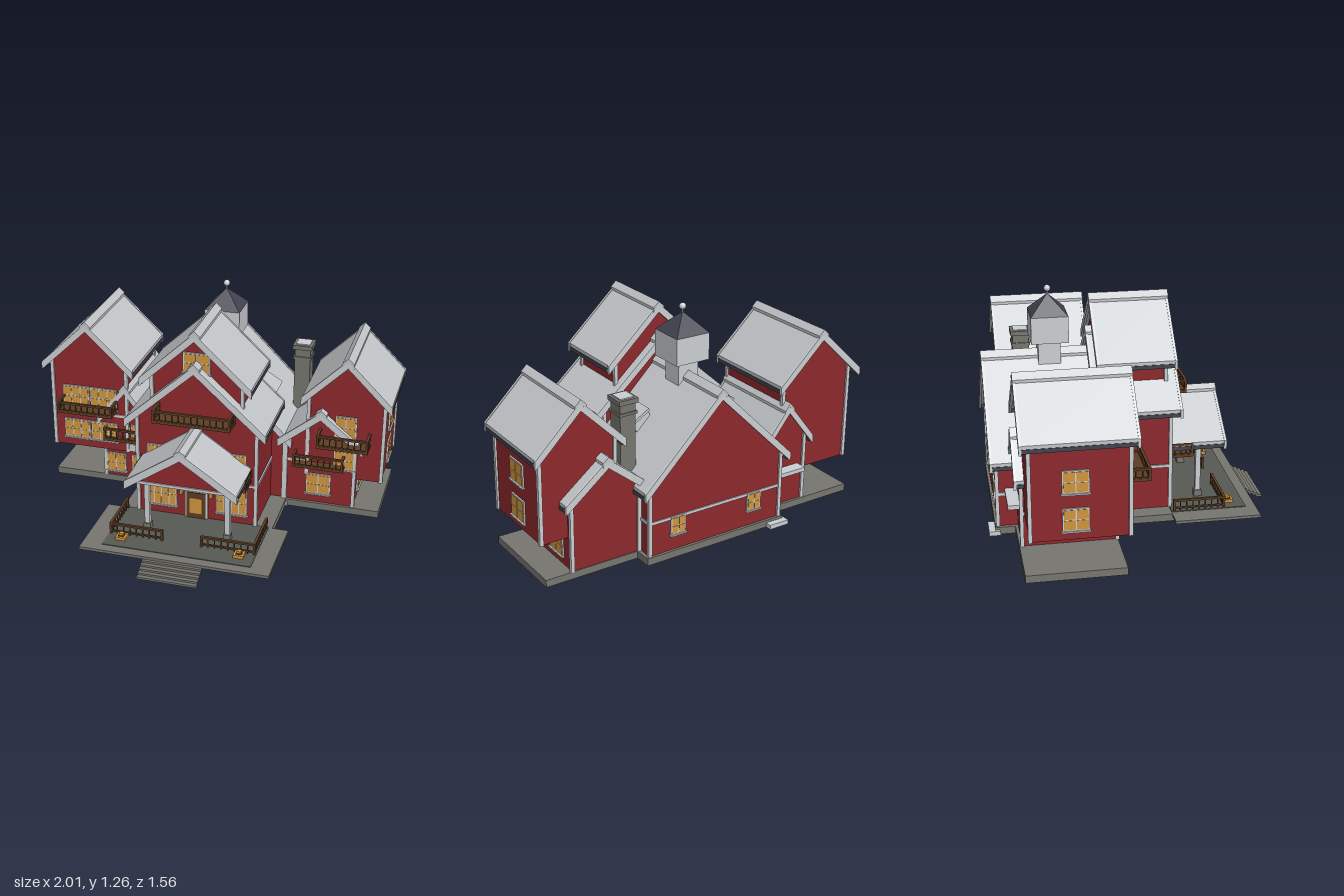
import * as THREE from 'three';

const mat = (name, color, side = THREE.FrontSide) => {
  const m = new THREE.MeshStandardMaterial({ color, side });
  m.name = name;
  return m;
};

export function createModel() {
  const root = new THREE.Group();
  root.name = 'house';
  const red = mat('red boards', 0x8e282c), roofM = mat('pale roof', 0xc4c7ca), trim = mat('white trim', 0xcdd0d4),
    wood = mat('brown wood', 0x5e3e24), glass = mat('amber glass', 0xd2963c), stone = mat('grey stone', 0x77766f),
    deck = mat('dark deck', 0x585a54), slate = mat('dark slate', 0x42444f);

  function add(parent, name, geo, m) {
    const mesh = new THREE.Mesh(geo, m);
    mesh.name = name;
    parent.add(mesh);
    return mesh;
  }
  // Box given by its limits
  function box(parent, name, m, x0, x1, y0, y1, z0, z1) {
    const b = add(parent, name, new THREE.BoxGeometry(x1 - x0, y1 - y0, z1 - z0), m);
    b.position.set((x0 + x1) / 2, (y0 + y1) / 2, (z0 + z1) / 2);
    return b;
  }
  function extrude(parent, name, m, pts, z0, z1) {
    const shape = new THREE.Shape(pts.map(p => new THREE.Vector2(...p)));
    const geo = new THREE.ExtrudeGeometry(shape, { depth: z1 - z0, bevelEnabled: false });
    const mesh = add(parent, name, geo, m);
    mesh.position.z = z0;
    return mesh;
  }
  // Upside-down V: half width, apex height, end height, vertical thickness
  const chevron = (h, top, end, t) => [[-h, end - t], [0, top - t], [h, end - t], [h, end], [0, top], [-h, end]];

  // Gabled block: walls, roof, ridge cap, barge boards, eaves and corner posts
  function gable(name, o) {
    const g = new THREE.Group();
    g.name = name;
    g.position.x = o.x || 0;
    root.add(g);
    const { w, h, base, eave, top } = o, [wz0, wz1] = o.wall, [rz0, rz1] = o.roof;
    const slope = (top - eave) / h, t = 0.03, wallTop = top - slope * w - t;
    extrude(g, 'walls', red, [[-w, base], [w, base], [w, wallTop], [0, top - t], [-w, wallTop]], wz0, wz1);
    extrude(g, 'roof', roofM, chevron(h, top, eave, t), rz0, rz1);
    extrude(g, 'ridgeCap', roofM, chevron(0.032, top + 0.016, top + 0.016 - slope * 0.032, 0.025), rz0 - 0.003, rz1 + 0.003);
    for (const [a, b] of [[rz0 - 0.002, rz0 + 0.012], [rz1 - 0.012, rz1 + 0.002]])
      extrude(g, 'bargeBoard', trim, chevron(h + 0.004, top + 0.004, eave, 0.048), a, b);
    for (const s of [-1, 1]) {
      const e = s * (h - 0.004);
      box(g, 'eave', slate, e - 0.007, e + 0.007, eave - 0.04, eave - 0.018, rz0 + 0.012, rz1 - 0.012);
      for (const z of [wz0, wz1])
        box(g, 'cornerPost', trim, s * w - 0.01, s * w + 0.01, base, wallTop, z - 0.01, z + 0.01);
    }
    return g;
  }

  gable('mainHall', { w: 0.41, h: 0.45, base: 0.07, eave: 0.445, top: 0.893, wall: [-0.73, -0.15], roof: [-0.763, -0.12] });
  gable('frontBlock', { w: 0.335, h: 0.39, base: 0.07, eave: 0.655, top: 1.005, wall: [-0.17, 0.208], roof: [-0.2, 0.26] });
  gable('upperBlock', { w: 0.25, h: 0.305, base: 0.6, eave: 0.9, top: 1.185, wall: [-0.15, 0.195], roof: [-0.18, 0.245] });
  gable('westWing', { x: -0.732, w: 0.222, h: 0.268, base: 0.245, eave: 0.775, top: 1.03, wall: [-0.61, -0.115], roof: [-0.655, -0.077] });
  gable('eastWing', { x: 0.75, w: 0.21, h: 0.247, base: 0.245, eave: 0.725, top: 0.97, wall: [-0.61, -0.152], roof: [-0.655, -0.117] });
  gable('westAnnex', { x: -0.522, w: 0.133, h: 0.165, base: 0.07, eave: 0.45, top: 0.66, wall: [-0.625, -0.135], roof: [-0.66, -0.105] });
  gable('eastAnnex', { x: 0.615, w: 0.195, h: 0.237, base: 0.07, eave: 0.455, top: 0.645, wall: [-0.645, -0.146], roof: [-0.68, -0.112] });
  gable('porchRoof', { w: 0.255, h: 0.305, base: 0.385, eave: 0.425, top: 0.63, wall: [0.2, 0.45], roof: [0.2, 0.523] });

  // Trim bands on walls
  for (const [x0, x1, y, z0, z1] of [
    [-0.343, 0.343, 0.315, -0.15, 0.215], [-0.416, 0.416, 0.255, -0.736, -0.4],
    [-0.96, -0.504, 0.47, -0.12, -0.109], [0.414, 0.545, 0.325, -0.15, -0.14],
    [-0.661, -0.383, 0.255, -0.631, -0.3], [-0.262, 0.262, 0.39, 0.36, 0.458]
  ]) box(root, 'trimBand', trim, x0, x1, y - 0.008, y + 0.008, z0, z1);

  // Window on a plane facing +z, turned by ry
  function win(x, y, z, w, h, cols, rows, ry = 0) {
    const g = new THREE.Group();
    g.name = 'window';
    g.position.set(x, y, z);
    g.rotation.y = ry;
    root.add(g);
    box(g, 'frame', trim, -w / 2, w / 2, -h / 2, h / 2, 0, 0.008);
    box(g, 'sill', trim, -w / 2 - 0.006, w / 2 + 0.006, -h / 2 - 0.008, -h / 2, 0, 0.016);
    const cw = (w - 0.008) / cols, ch = (h - 0.008) / rows;
    for (let i = 0; i < cols; i++) for (let j = 0; j < rows; j++) {
      const px = -w / 2 + 0.004 + i * cw, py = -h / 2 + 0.004 + j * ch;
      box(g, 'pane', glass, px + 0.003, px + cw - 0.003, py + 0.003, py + ch - 0.003, 0.005, 0.0105);
    }
  }
  const side = Math.PI / 2;
  for (const s of [-1, 1]) {
    win(s * 0.2, 0.205, 0.208, 0.175, 0.15, 4, 2);
    win(s * 0.215, 0.45, 0.208, 0.13, 0.1, 3, 2);
    win(s * 0.24, 0.21, -0.73, 0.09, 0.1, 2, 2, Math.PI);
  }
  win(0, 1.005, 0.195, 0.15, 0.11, 2, 2);
  for (const x of [-0.815, -0.65]) {
    win(x, 0.36, -0.115, 0.16, 0.115, 3, 2);
    win(x, 0.57, -0.115, 0.16, 0.125, 3, 2);
  }
  win(-0.59, 0.16, -0.135, 0.12, 0.115, 2, 2);
  win(-0.445, 0.16, -0.135, 0.1, 0.115, 2, 2);
  win(-0.455, 0.36, -0.135, 0.08, 0.11, 2, 2);
  win(0.75, 0.56, -0.152, 0.12, 0.13, 2, 2);
  win(0.75, 0.36, -0.146, 0.12, 0.115, 2, 2);
  win(0.61, 0.19, -0.146, 0.14, 0.125, 2, 2);
  for (const y of [0.355, 0.555]) {
    win(0.96, y, -0.385, 0.135, 0.12, 2, 2, side);
    win(-0.954, y, -0.385, 0.135, 0.12, 2, 2, -side);
  }
  for (const z of [-0.322, -0.498]) win(0.81, 0.18, z, 0.13, 0.12, 2, 2, side);

  // Railing between two points, with posts and balusters
  function rail(g, x0, z0, x1, z1, y0, y1) {
    const len = Math.hypot(x1 - x0, z1 - z0), n = Math.max(2, Math.round(len / 0.035));
    const r = new THREE.Group();
    r.name = 'railing';
    r.position.set(x0, 0, z0);
    r.rotation.y = -Math.atan2(z1 - z0, x1 - x0);
    g.add(r);
    box(r, 'topRail', wood, 0, len, y1 - 0.012, y1, -0.007, 0.007);
    box(r, 'lowRail', wood, 0, len, y0 + 0.012, y0 + 0.02, -0.004, 0.004);
    for (let i = 0; i <= n; i++) {
      const x = len * i / n, k = i % n ? 0.003 : 0.006;
      box(r, 'baluster', wood, x - k, x + k, y0, y1, -k, k);
    }
  }
  function balcony(x0, x1, y0, y1, z0, z1) {
    const g = new THREE.Group();
    g.name = 'balcony';
    root.add(g);
    box(g, 'floor', wood, x0, x1, y0, y0 + 0.015, z0, z1);
    const a = x0 + 0.006, b = x1 - 0.006, f = z1 - 0.006;
    rail(g, a, f, b, f, y0, y1);
    rail(g, a, z0, a, f, y0, y1);
    rail(g, b, z0, b, f, y0, y1);
  }
  balcony(-0.215, 0.215, 0.68, 0.755, 0.208, 0.318);
  balcony(-0.31, -0.15, 0.345, 0.425, 0.208, 0.34);
  balcony(0.15, 0.31, 0.345, 0.425, 0.208, 0.34);
  balcony(-0.895, -0.565, 0.5, 0.57, -0.115, -0.005);
  balcony(-0.645, -0.41, 0.32, 0.4, -0.135, -0.075);
  balcony(0.605, 0.89, 0.46, 0.54, -0.152, -0.048);
  balcony(0.47, 0.755, 0.31, 0.39, -0.146, -0.08);

  // Foundation, terrace and steps
  box(root, 'foundation', stone, -0.43, 0.43, 0.03, 0.07, -0.745, 0.23);
  box(root, 'westFoundation', stone, -0.965, -0.42, 0.03, 0.07, -0.64, -0.13);
  box(root, 'eastFoundation', stone, 0.42, 0.96, 0.03, 0.07, -0.65, -0.13);
  box(root, 'terrace', stone, -0.52, 0.52, 0.055, 0.071, 0.205, 0.67);
  box(root, 'terraceFloor', deck, -0.41, 0.41, 0.07, 0.075, 0.205, 0.615);
  box(root, 'terraceBase', wood, -0.4, 0.4, 0.03, 0.056, 0.225, 0.49);
  for (let i = 0; i < 5; i++)
    box(root, 'frontStep', stone, -0.163, 0.163, 0.044 - i * 0.011, 0.056 - i * 0.011, 0.655 + i * 0.0225, 0.686 + i * 0.0225);
  for (const [x, z] of [[-0.385, -0.75], [0.38, -0.15]])
    box(root, 'sideStep', trim, x - 0.06, x + 0.06, 0.03, 0.055, z - 0.03, z + 0.03);

  // Porch columns, terrace railings, planters and lanterns
  for (const s of [-1, 1]) {
    box(root, 'porchColumn', trim, s * 0.225 - 0.014, s * 0.225 + 0.014, 0.07, 0.39, 0.371, 0.399);
    box(root, 'columnFoot', stone, s * 0.225 - 0.02, s * 0.225 + 0.02, 0.07, 0.11, 0.364, 0.406);
    rail(root, Math.min(s * 0.11, s * 0.4), 0.495, Math.max(s * 0.11, s * 0.4), 0.495, 0.075, 0.14);
    rail(root, s * 0.4, 0.22, s * 0.4, 0.495, 0.075, 0.14);
    box(root, 'planter', glass, s * 0.327 - 0.028, s * 0.327 + 0.028, 0.075, 0.092, 0.502, 0.558);
    box(root, 'planterTop', wood, s * 0.327 - 0.016, s * 0.327 + 0.016, 0.09, 0.096, 0.514, 0.546);
    box(root, 'planterCentre', glass, s * 0.327 - 0.011, s * 0.327 + 0.011, 0.09, 0.108, 0.519, 0.541);
    box(root, 'lantern', glass, s * 0.085 - 0.008, s * 0.085 + 0.008, 0.215, 0.245, 0.208, 0.228);
  }

  // Front door and plain board above it
  box(root, 'doorFrame', trim, -0.065, 0.065, 0.07, 0.243, 0.205, 0.216);
  box(root, 'door', wood, -0.054, 0.054, 0.07, 0.233, 0.21, 0.222);
  box(root, 'doorGlass', glass, -0.036, 0.036, 0.105, 0.2, 0.217, 0.225);
  box(root, 'boardFrame', trim, -0.11, 0.11, 0.308, 0.368, 0.21, 0.22);
  box(root, 'board', slate, -0.1, 0.1, 0.316, 0.36, 0.215, 0.226);

  // Small door canopies on the west annex
  box(root, 'frontCanopy', trim, -0.51, -0.38, 0.25, 0.295, -0.135, -0.112);
  box(root, 'backCanopy', trim, -0.62, -0.4, 0.262, 0.285, -0.69, -0.62);

  // Shed dormers on the main roof
  for (const s of [-1, 1]) {
    const d = new THREE.Group();
    d.name = 'dormer';
    d.position.set(s * 0.25, 0.66, -0.34);
    d.rotation.z = -s * 0.55;
    root.add(d);
    box(d, 'dormerBody', trim, -0.055, 0.055, -0.06, 0.03, -0.075, 0.075);
    box(d, 'dormerLid', roofM, -0.065, 0.065, 0.03, 0.045, -0.085, 0.085);
  }

  // Chimney
  box(root, 'chimney', stone, 0.385, 0.475, 0.3, 0.86, -0.562, -0.47);
  box(root, 'chimneyBand', stone, 0.378, 0.482, 0.795, 0.81, -0.569, -0.463);
  box(root, 'chimneyCap', stone, 0.374, 0.486, 0.855, 0.88, -0.573, -0.459);
  box(root, 'chimneyFlue', trim, 0.39, 0.47, 0.88, 0.886, -0.557, -0.475);

  // Cupola with pyramid roof and ball finial
  box(root, 'cupolaNeck', trim, -0.06, 0.06, 0.82, 0.97, -0.46, -0.34);
  box(root, 'cupola', trim, -0.1, 0.1, 0.96, 1.105, -0.5, -0.3);
  const pyramid = add(root, 'cupolaRoof', new THREE.ConeGeometry(0.1 * Math.SQRT2, 0.105, 4).rotateY(Math.PI / 4).toNonIndexed(), slate);
  pyramid.geometry.computeVertexNormals();
  pyramid.position.set(0, 1.1575, -0.4);
  const rod = add(root, 'finialRod', new THREE.CylinderGeometry(0.005, 0.005, 0.05, 8), trim);
  rod.position.set(0, 1.21, -0.4);
  const ball = add(root, 'finialBall', new THREE.SphereGeometry(0.018, 16, 12), trim);
  ball.position.set(0, 1.238, -0.4);
  return root;
}
